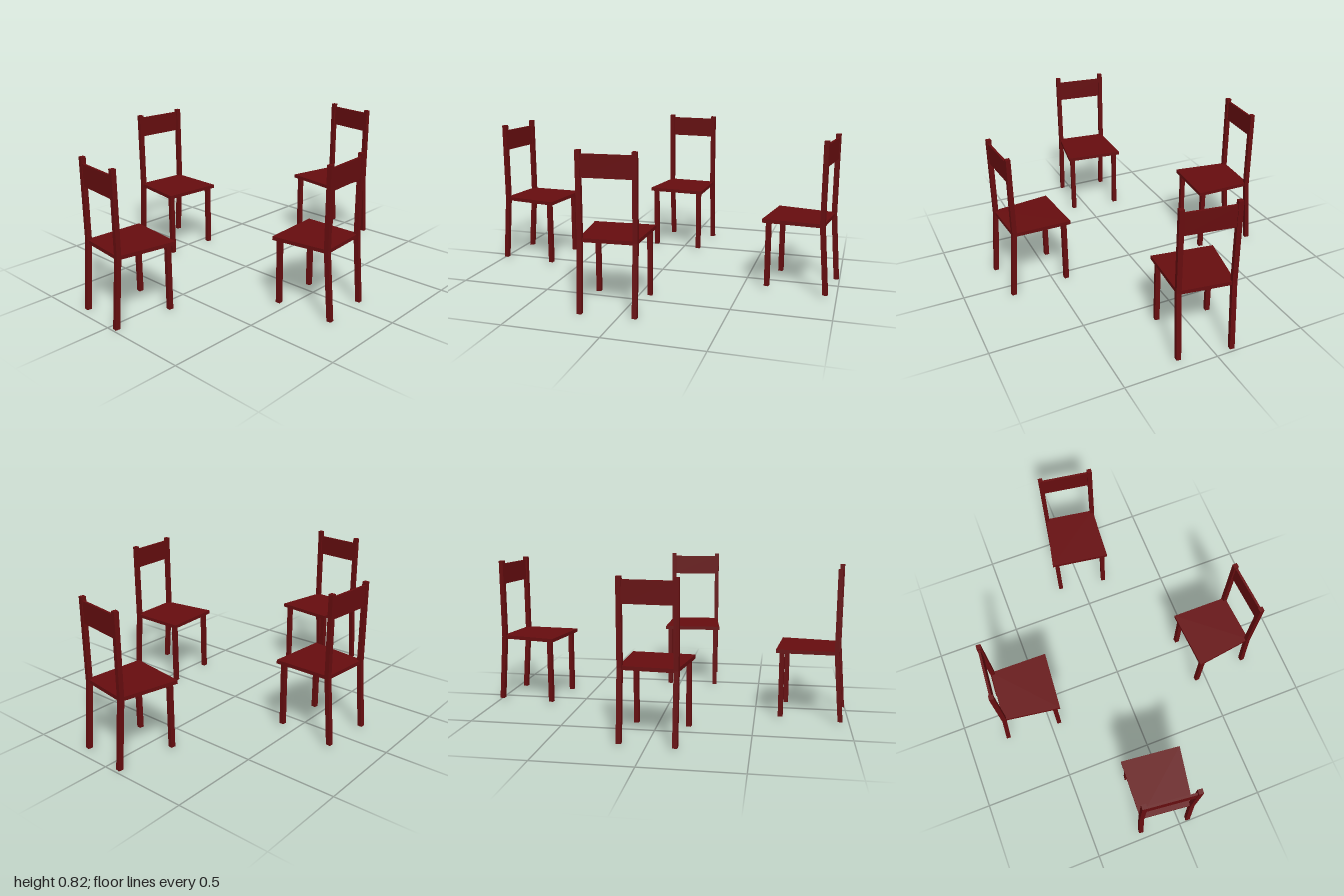
import * as THREE from 'three';

const wood = new THREE.MeshStandardMaterial({ color: 0x660d0f });
wood.name = 'darkRedWood';

const POST = 0.025;    // thickness of legs and posts
const HALF = 0.14;     // half the leg spacing
const BACK_Z = -0.316; // post line, measured from the front edge of the seat
const SPLAY = 0.031;   // how far the back feet kick out

function part(name, geometry, x = 0, y = 0, z = 0) {
  const mesh = new THREE.Mesh(geometry, wood);
  mesh.name = name;
  mesh.position.set(x, y, z);
  return mesh;
}

// Seat board: a trapezoid, wider at the front
function seatGeometry() {
  const s = new THREE.Shape();
  s.moveTo(-0.167, 0);
  s.lineTo(0.167, 0);
  s.lineTo(0.145, 0.322);
  s.lineTo(-0.145, 0.322);
  s.closePath();
  return new THREE.ExtrudeGeometry(s, { depth: 0.02, bevelEnabled: false }).rotateX(-Math.PI / 2);
}

// Back leg and post in one piece, bent at the seat
function backPostGeometry() {
  const h = POST / 2;
  const s = new THREE.Shape();
  s.moveTo(SPLAY - h, 0);
  s.lineTo(SPLAY + h, 0);
  s.lineTo(h, 0.37);
  s.lineTo(h, 0.81);
  s.lineTo(-h, 0.81);
  s.lineTo(-h, 0.37);
  s.closePath();
  // profile x becomes -z, extrusion becomes x
  return new THREE.ExtrudeGeometry(s, { depth: POST, bevelEnabled: false })
    .translate(0, 0, -h).rotateY(Math.PI / 2);
}

const seatGeo = seatGeometry();
const postGeo = backPostGeometry();
const legGeo = new THREE.BoxGeometry(POST, 0.36, POST);
const railGeo = new THREE.BoxGeometry(2 * HALF, 0.115, 0.012);

// Chair with its origin on the floor below the middle of the front seat edge, facing +z
function createChair(name, railY) {
  const chair = new THREE.Group();
  chair.name = name;
  chair.add(part('seat', seatGeo, 0, 0.359, 0));
  for (const [side, sx] of [['left', 1], ['right', -1]]) {
    chair.add(part(side + 'FrontLeg', legGeo, sx * HALF, 0.185, -0.03));
    chair.add(part(side + 'BackPost', postGeo, sx * HALF, 0, BACK_Z));
  }
  chair.add(part('backRail', railGeo, 0, railY, BACK_Z - 0.003));
  return chair;
}

export function createModel() {
  const group = new THREE.Group();
  group.name = 'chairSet';
  // name, x, y, z, turn, rail height
  const places = [
    ['backChair', -0.035, 0.012, -0.4075, -0.08, 0.737],
    ['frontChair', -0.0825, 0, 0.405, Math.PI + 0.068, 0.735],
    ['rightChair', -0.624, 0.007, -0.0485, 1.461, 0.72],
    ['leftChair', 0.62, 0.012, 0, -1.718, 0.734],
  ];
  for (const [name, x, y, z, turn, railY] of places) {
    const chair = createChair(name, railY);
    chair.position.set(x, y, z);
    chair.rotation.y = turn;
    group.add(chair);
  }
  return group;
}
